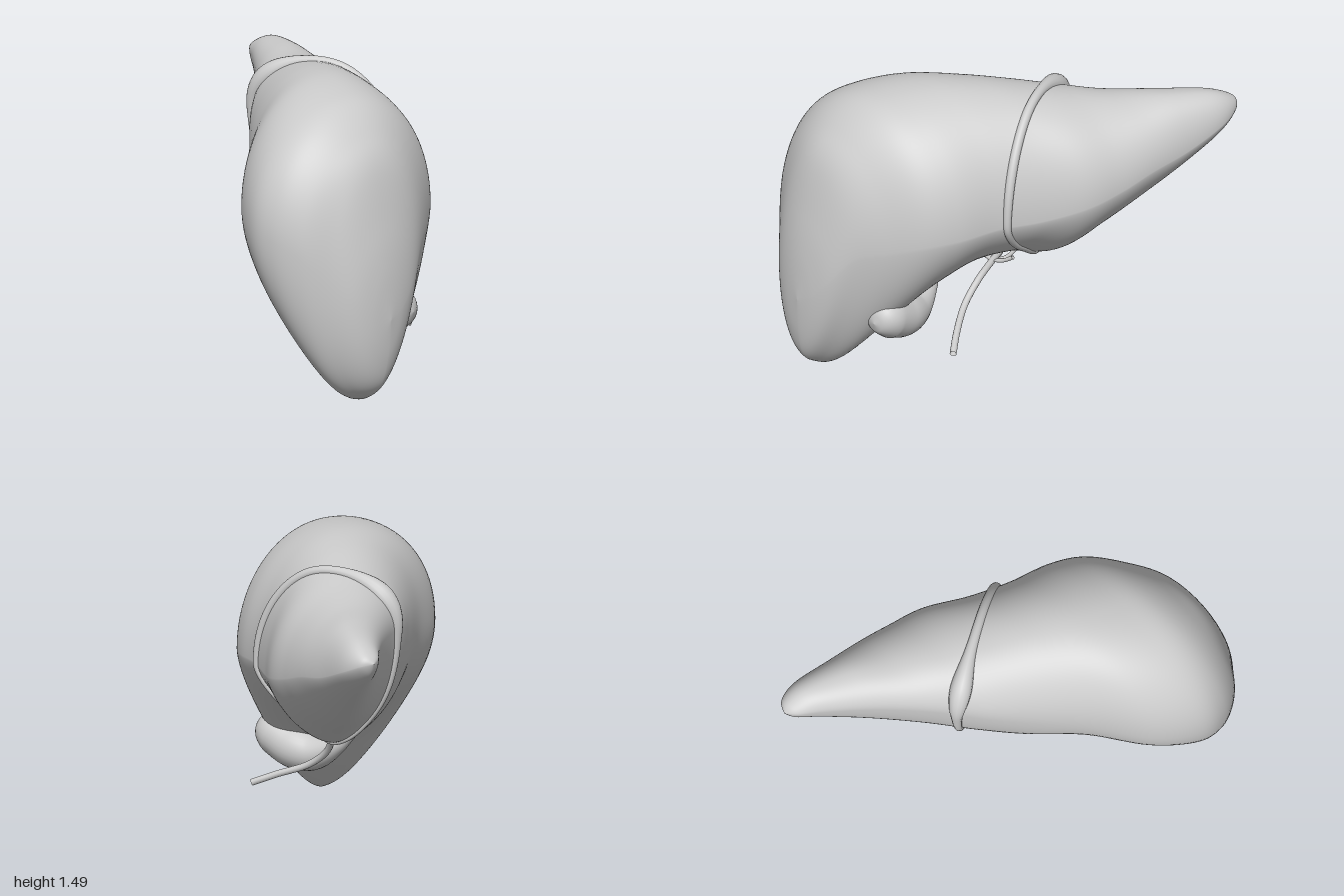
import * as THREE from 'three';

// Cross-sections from the blunt front end to the thin back tip:
// z, left x,y, right x,y, top x,y, bottom x,y
const STATIONS = [
  [1.0, -.26, .42, -.26, .42, -.26, .42, -.26, .42],
  [.985, -.37, .42, -.16, .48, -.26, .66, -.27, .22],
  [.95, -.46, .5, -.06, .6, -.25, .88, -.28, .09],
  [.88, -.55, .6, .05, .75, -.25, 1.16, -.29, .02],
  [.78, -.66, .75, .18, .8, -.22, 1.31, -.28, 0],
  [.65, -.73, .83, .32, .85, -.18, 1.42, -.26, .13],
  [.5, -.73, .87, .4, .87, -.12, 1.465, -.2, .31],
  [.3, -.61, .92, .455, .89, -.04, 1.487, -.06, .48],
  [.1, -.38, 1.0, .54, .9, .06, 1.47, .12, .56],
  [-.1, -.19, 1.06, .645, .95, .17, 1.43, .26, .55],
  [-.28, -.02, 1.13, .685, 1.0, .29, 1.39, .35, .66],
  [-.45, .17, 1.18, .71, 1.06, .42, 1.365, .43, .77],
  [-.65, .36, 1.22, .73, 1.11, .55, 1.36, .53, .92],
  [-.85, .52, 1.25, .745, 1.19, .635, 1.34, .63, 1.08],
  [-.96, .6, 1.26, .715, 1.24, .66, 1.295, .655, 1.18],
  [-1.0, .655, 1.255, .655, 1.255, .655, 1.255, .655, 1.255],
];

// Smooth blend of one station column at u in 0..1
function column(k, u) {
  const last = STATIONS.length - 1;
  const f = Math.min(Math.max(u, 0), 1) * last;
  const i = Math.min(Math.floor(f), last - 1), t = f - i;
  const at = (j) => STATIONS[Math.min(Math.max(j, 0), last)][k];
  const [a, b, c, d] = [at(i - 1), at(i), at(i + 1), at(i + 2)];
  return b + .5 * t * (c - a + t * (2 * a - 5 * b + 4 * c - d + t * (3 * (b - c) + d - a)));
}

// Point on the liver surface: four quarter curves join the extreme points of a section
function bodyPoint(u, angle) {
  const [z, lx, ly, rx, ry, tx, ty, bx, by] = STATIONS[0].map((_, k) => column(k, u));
  const c = Math.cos(angle), s = Math.sin(angle);
  const p = s < 0 && c > 0 ? 1.5 : 2.05; // the hollow underside is flatter
  const px = Math.abs(c) ** (2 / p), py = Math.abs(s) ** (2 / p);
  const [mx, my] = [s < 0 ? bx : tx, c < 0 ? ly : ry];
  return new THREE.Vector3(mx + ((c < 0 ? lx : rx) - mx) * px, my + ((s < 0 ? by : ty) - my) * py, z);
}

// Surface from rings of points; columns (and optionally rows) wrap round
function skin(rows, cols, point, wrapRows = false) {
  const pos = [], index = [];
  for (let i = 0; i < rows; i++)
    for (let j = 0; j < cols; j++) pos.push(...point(i, j).toArray());
  for (let i = 0; i < (wrapRows ? rows : rows - 1); i++)
    for (let j = 0; j < cols; j++) {
      const n = ((i + 1) % rows) * cols, m = i * cols, k = (j + 1) % cols;
      index.push(m + j, n + j, m + k, m + k, n + j, n + k);
    }
  const g = new THREE.BufferGeometry();
  g.setAttribute('position', new THREE.Float32BufferAttribute(pos, 3));
  g.setIndex(index);
  g.computeVertexNormals();
  return g;
}

// Round sweep along a smooth path with a radius that varies by t
function sweep(points, radius, rows = 48, cols = 20, closed = false) {
  const curve = new THREE.CatmullRomCurve3(points, closed);
  const frames = curve.computeFrenetFrames(rows, closed);
  return skin(closed ? rows : rows + 1, cols, (i, j) => {
    const t = i / rows, a = -j / cols * Math.PI * 2, r = radius(t, curve);
    return curve.getPointAt(t)
      .addScaledVector(frames.normals[i], Math.cos(a) * r)
      .addScaledVector(frames.binormals[i], -Math.sin(a) * r);
  }, closed);
}

const vec = (list) => list.map((p) => new THREE.Vector3(...p));

export function createModel() {
  const model = new THREE.Group();
  const material = new THREE.MeshStandardMaterial({ color: 0xcccccc, side: THREE.DoubleSide });
  const add = (name, geometry, parent = model) => {
    const mesh = new THREE.Mesh(geometry, material);
    mesh.name = name;
    parent.add(mesh);
  };

  // Both lobes as one smooth body
  add('liverBody', skin(121, 96, (i, j) => bodyPoint(i / 120, j / 96 * Math.PI * 2)));

  // Ligament: ring where an upright slanting plane cuts the body, swollen at the upper back
  const ring = [];
  for (let j = 0; j < 40; j++) {
    const angle = j / 40 * Math.PI * 2;
    let lo = 0, hi = 1;
    for (let k = 0; k < 30; k++) {
      const mid = (lo + hi) / 2, p = bodyPoint(mid, angle);
      if (p.x - .31 - .587 * p.z < 0) lo = mid; else hi = mid;
    }
    ring.push(bodyPoint(lo, angle));
  }
  const swell = new THREE.Vector3(.13, 1.32, -.31);
  add('ligamentBand', sweep(ring, (t, curve) => {
    const p = curve.getPointAt(t);
    const d = p.distanceTo(swell);
    const upper = THREE.MathUtils.smoothstep(p.y, .55, 1.2);
    return .014 + .01 * upper + .03 * Math.exp(-d * d / .022);
  }, 160, 16, true));

  // Gallbladder: rounded bulb tapering to a curved neck
  const sack = vec([[.08, .36, .79], [.06, .36, .7], [.03, .315, .58], [-.01, .305, .47],
    [-.06, .37, .34], [-.11, .47, .25], [-.12, .52, .2]]);
  add('gallbladder', sweep(sack, (t) => {
    const width = THREE.MathUtils.lerp(.108, .03, THREE.MathUtils.smoothstep(t, .3, .88));
    const nose = Math.sqrt(1 - (1 - Math.min(t / .16, 1)) ** 2);
    const tail = Math.sqrt(1 - (1 - Math.min((1 - t) / .04, 1)) ** 2);
    return width * nose * tail;
  }, 80, 28));

  // Ducts: main duct, link from the gallbladder neck, small branches into the body
  const ducts = new THREE.Group();
  ducts.name = 'bileDucts';
  model.add(ducts);
  const duct = (name, points, r) => add(name, sweep(vec(points), () => r, 32, 12), ducts);
  duct('mainDuct', [[.335, .205, .5], [.25, .255, .41], [.15, .32, .28], [.12, .41, .17], [.14, .5, .1], [.17, .57, .06]], .017);
  duct('neckDuct', [[-.12, .51, .21], [-.06, .53, .15], [.04, .52, .11], [.14, .5, .1]], .014);
  for (const [x, y, z] of [[.22, .58, .0], [.13, .59, .0], [.25, .55, .06]])
    duct('branchDuct', [[.14, .5, .1], [(x + .14) / 2, .515, (z + .1) / 2], [x, y, z]], .01);

  return model;
}
